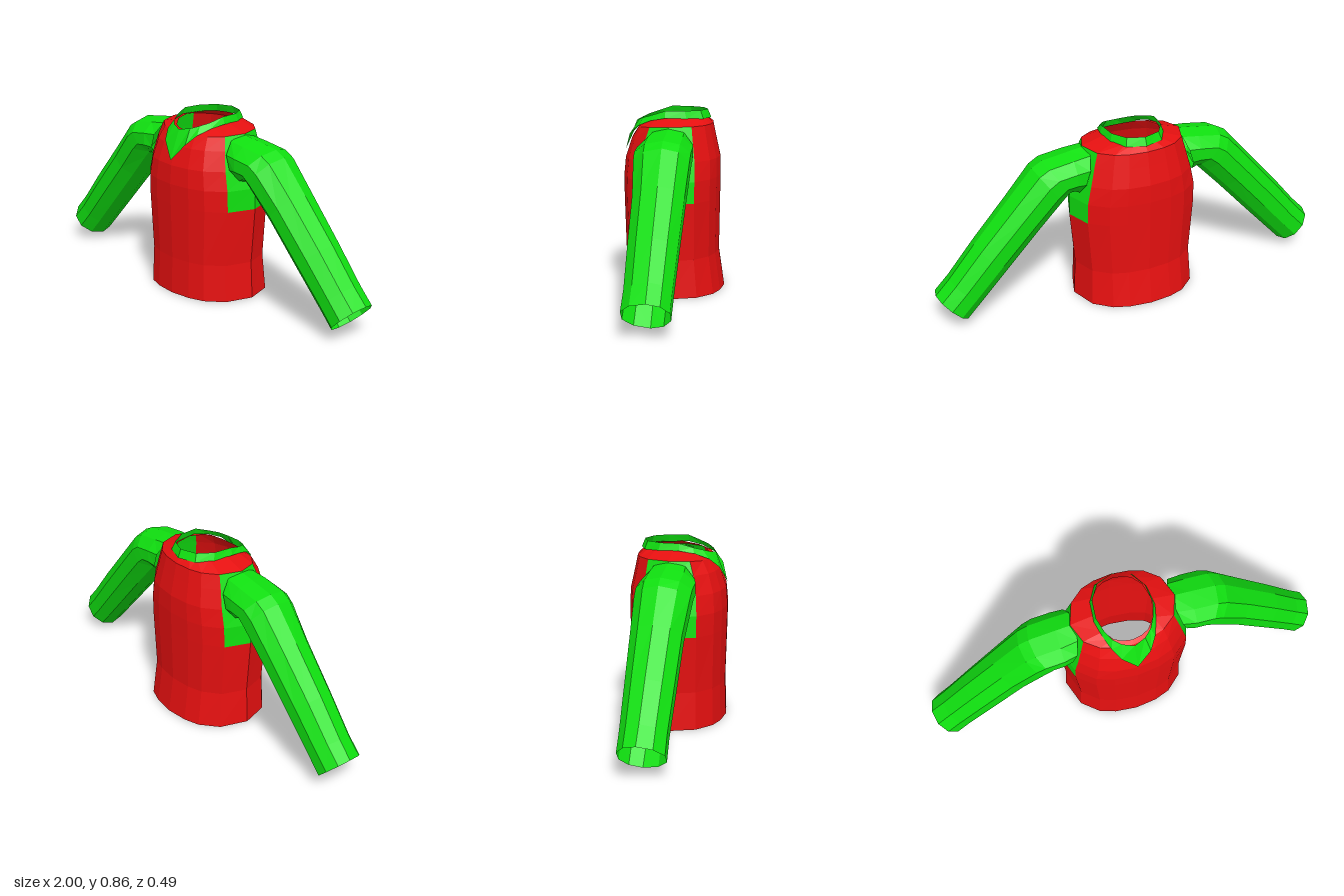
import * as THREE from 'three';

const red = new THREE.MeshStandardMaterial({ color: 0xe61010, flatShading: true, side: THREE.DoubleSide });
red.name = 'red cloth';
const green = new THREE.MeshStandardMaterial({ color: 0x10e010, flatShading: true, side: THREE.DoubleSide });
green.name = 'green cloth';

// Skin a stack of closed rings; keep(row, column) picks the quads to include
function loft(rings, keep = () => true) {
  const n = rings[0].length;
  const index = [];
  for (let j = 0; j < rings.length - 1; j++) {
    for (let k = 0; k < n; k++) {
      if (!keep(j, k)) continue;
      const a = j * n + k, b = j * n + (k + 1) % n;
      index.push(a, a + n, b, b, a + n, b + n);
    }
  }
  const geo = new THREE.BufferGeometry();
  geo.setAttribute('position', new THREE.Float32BufferAttribute(rings.flat(2), 3));
  geo.setIndex(index);
  geo.computeVertexNormals();
  return geo;
}

function addMesh(parent, name, geo, material) {
  const mesh = new THREE.Mesh(geo, material);
  mesh.name = name;
  parent.add(mesh);
}

// Body cross-section: one quarter, mirrored into 16 points
const quarter = [[1, 0], [0.86, 0.55], [0.6, 0.84], [0.35, 0.95], [0, 1]];
const section = [
  ...quarter,
  ...quarter.slice(0, 4).reverse().map(([x, z]) => [-x, z]),
  ...quarter.slice(1).map(([x, z]) => [-x, -z]),
  ...quarter.slice(1, 4).reverse().map(([x, z]) => [x, -z]),
];

function buildBody(group) {
  // height, half width, front depth, back depth, drop at the front
  const rows = [
    [0, 0.31, 0.24, 0.243, 0],
    [0.18, 0.3, 0.234, 0.216, 0],
    [0.45, 0.322, 0.241, 0.22, 0],
    [0.55, 0.32, 0.243, 0.222, 0],
    [0.64, 0.298, 0.235, 0.22, 0],
    [0.73, 0.272, 0.205, 0.2, 0],
    [0.798, 0.25, 0.17, 0.186, 0.015],
    [0.83, 0.137, 0.15, 0.15, 0.035],
  ];
  const rings = rows.map(([y, w, front, back, drop]) => section.map(([x, z]) =>
    [x * w, y - drop * Math.max(0, z) ** 2, z * (z > 0 ? front : back)]));
  // the columns under the arms carry the sleeve colour
  const isSide = (j, k) => j >= 2 && j <= 5 && [0, 7, 8, 15].includes(k);
  addMesh(group, 'body', loft(rings, (j, k) => !isSide(j, k)), red);
  addMesh(group, 'underarmPanels', loft(rings, isSide), green);
}

function buildSleeve(group, side, name) {
  // top edge x, y; bottom edge x, y; front depth; back depth
  const rows = [
    [0.23, 0.795, 0.3, 0.575, 0.13, 0.12],
    [0.32, 0.782, 0.318, 0.59, 0.143, 0.125],
    [0.45, 0.762, 0.33, 0.592, 0.143, 0.126],
    [0.5, 0.735, 0.365, 0.555, 0.14, 0.125],
    [0.63, 0.59, 0.475, 0.44, 0.125, 0.117],
    [0.8, 0.4, 0.645, 0.255, 0.12, 0.107],
    [0.93, 0.245, 0.785, 0.105, 0.115, 0.1],
    [1, 0.172, 0.857, 0.028, 0.118, 0.098],
  ];
  const sides = 10;
  const rings = rows.map(([tx, ty, bx, by, front, back]) =>
    Array.from({ length: sides }, (_, k) => {
      const a = -side * k / sides * Math.PI * 2;
      const c = Math.cos(a) / 2, s = Math.sin(a);
      return [
        side * ((tx + bx) / 2 + (tx - bx) * c),
        (ty + by) / 2 + (ty - by) * c,
        s * (s > 0 ? front : back),
      ];
    }));
  addMesh(group, name, loft(rings), green);
}

function buildCollar(group) {
  // from back centre round to the front point: bottom x, y, z; top x, y, z
  const half = [
    [0, 0.822, -0.175, 0, 0.862, -0.158],
    [0.09, 0.823, -0.145, 0.08, 0.862, -0.13],
    [0.135, 0.825, -0.07, 0.125, 0.862, -0.06],
    [0.145, 0.828, 0.03, 0.133, 0.862, 0.03],
    [0.128, 0.815, 0.1, 0.115, 0.842, 0.09],
    [0.103, 0.788, 0.165, 0.09, 0.828, 0.135],
    [0.07, 0.745, 0.21, 0.055, 0.815, 0.165],
    [0, 0.665, 0.24, 0, 0.805, 0.185],
  ];
  const full = [
    ...half,
    ...half.slice(1, -1).reverse().map(([a, b, c, d, e, f]) => [-a, b, c, -d, e, f]),
  ];
  const rings = [full.map(p => p.slice(0, 3)), full.map(p => p.slice(3))];
  addMesh(group, 'collar', loft(rings), green);
}

export function createModel() {
  const group = new THREE.Group();
  group.name = 'longSleevedShirt';
  buildBody(group);
  buildSleeve(group, 1, 'leftSleeve');
  buildSleeve(group, -1, 'rightSleeve');
  buildCollar(group);
  return group;
}
